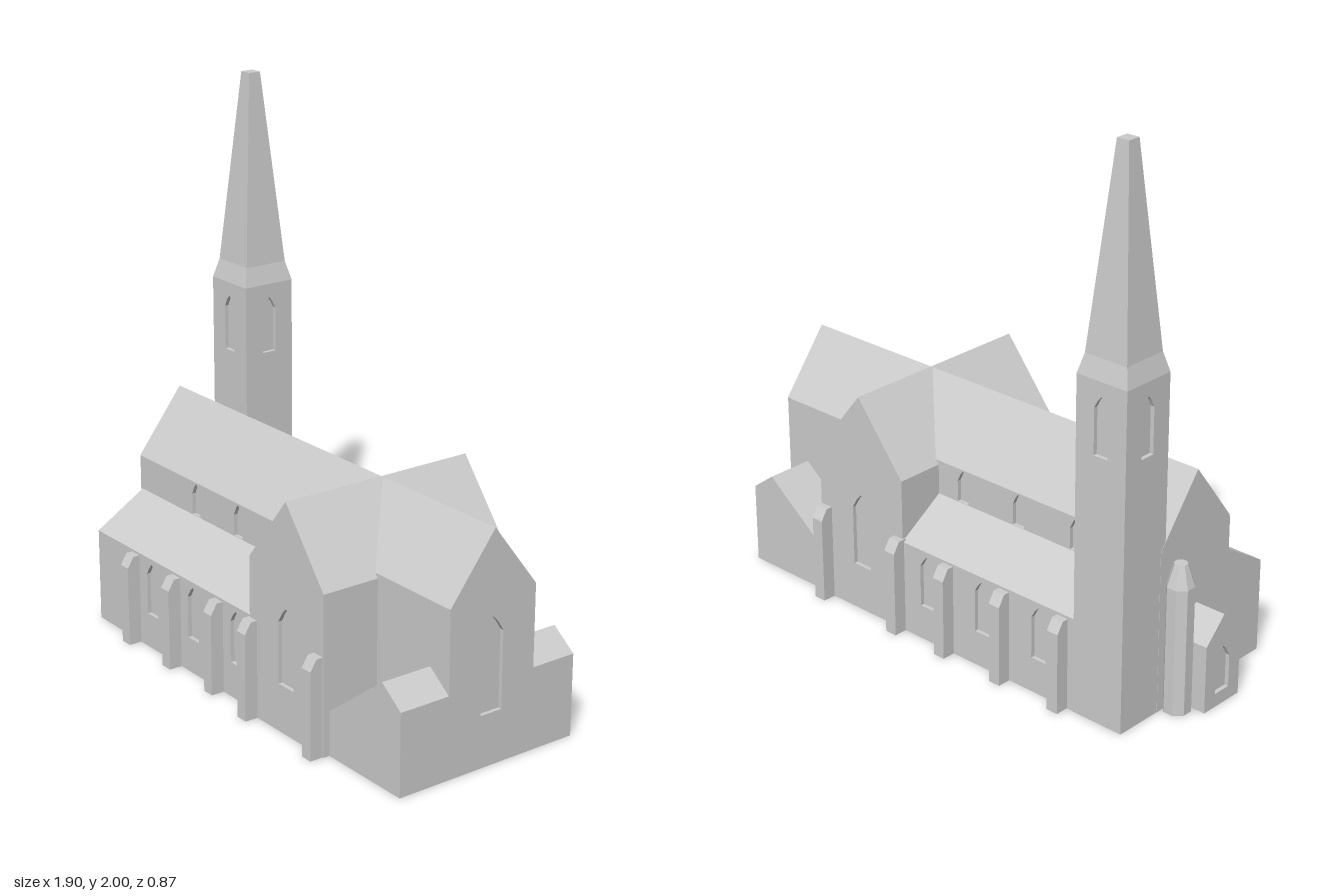
import * as THREE from 'three';

const D = 0.015; // depth of the window recesses

export function createModel() {
  const church = new THREE.Group();
  church.name = 'church';
  const stone = new THREE.MeshStandardMaterial({ color: 0xcccccc });
  stone.name = 'stone';

  const add = (name, geometry) => {
    const mesh = new THREE.Mesh(geometry, stone);
    mesh.name = name;
    church.add(mesh);
    return mesh;
  };
  const polygon = (pts) => new THREE.Shape(pts.map(([x, y]) => new THREE.Vector2(x, y)));
  const extrude = (shape, depth) =>
    new THREE.ExtrudeGeometry(shape, { depth, bevelEnabled: false });

  // Solid with a (z, y) profile running along x
  const prismX = (name, profile, x0, x1) =>
    add(name, extrude(polygon(profile), x1 - x0).rotateY(-Math.PI / 2).translate(x1, 0, 0));
  // Solid with an (x, y) profile running along z
  const prismZ = (name, profile, z0, z1) =>
    add(name, extrude(polygon(profile), z1 - z0).translate(0, 0, z0));

  // Pointed window opening: centre, width, sill, spring and tip heights
  const lancet = ([c, w, sill, spring, tip]) => polygon([
    [c - w / 2, sill], [c + w / 2, sill], [c + w / 2, spring],
    [c + w * 0.25, (spring + tip) / 2 + 0.006], [c, tip],
    [c - w * 0.25, (spring + tip) / 2 + 0.006], [c - w / 2, spring],
  ]);
  // Thin outer wall with window openings; its face looks along +z before turning
  const wall = (name, outline, windows, x, z, angle) => {
    const shape = polygon(outline);
    shape.holes = windows.map(lancet);
    add(name, extrude(shape, D).translate(0, 0, -D).rotateY(angle).translate(x, 0, z));
  };
  const rect = (x0, x1, y0, y1) => [[x0, y0], [x1, y0], [x1, y1], [x0, y1]];
  const gable = (c, h, eave, ridge) =>
    [[c - h, 0], [c + h, 0], [c + h, eave], [c, ridge], [c - h, eave]];

  const ZC = -0.022, HW = 0.18, EAVE = 0.6, RIDGE = 0.835;
  const bays = [-0.465, -0.205, 0.055];

  // Nave and chancel under one long roof
  const i = HW - D;
  prismX('nave', [
    [ZC - i, 0], [ZC + i, 0], [ZC + i, EAVE - 0.002], [ZC + HW, EAVE],
    [ZC, RIDGE], [ZC - HW, EAVE], [ZC - i, EAVE - 0.002],
  ], -0.83, 0.95 - D);
  wall('eastGable', gable(0, HW, EAVE, RIDGE), [[0, 0.09, 0.19, 0.47, 0.53]], 0.95, ZC, Math.PI / 2);

  for (const s of [1, -1]) {
    const side = s > 0 ? 'front' : 'back';
    const turn = s > 0 ? 0 : Math.PI;
    const inner = ZC + s * HW;
    const outer = s > 0 ? 0.355 : -0.385;

    // Clerestory wall
    const ends = [-0.83 * s, (0.95 - D) * s].sort((a, b) => a - b);
    wall(side + 'Clerestory', rect(ends[0], ends[1], 0, EAVE - 0.002),
      bays.map((x) => [x * s, 0.052, 0.472, 0.55, 0.594]), 0, inner, turn);

    // Side aisle with a lean-to roof
    prismX(side + 'Aisle', [
      [ZC, 0], [outer - s * D, 0], [outer - s * D, 0.348], [outer, 0.35],
      [inner, 0.47], [ZC, 0.47],
    ], -0.82, 0.18);
    const span = [-0.82 * s, 0.18 * s].sort((a, b) => a - b);
    wall(side + 'AisleWall', rect(span[0], span[1], 0, 0.349),
      bays.map((x) => [x * s, 0.065, 0.13, 0.285, 0.33]), 0, outer, turn);

    // Transept end wall
    wall(side + 'TranseptGable', gable(0, 0.205, 0.582, 0.838),
      [[0, 0.085, 0.175, 0.4, 0.46]], 0.378, s > 0 ? 0.38 : -0.385, turn);

    // Low vestry beside the chancel
    const za = s > 0 ? 0.1 : -0.38, zb = s > 0 ? 0.355 : -0.14;
    prismZ(side + 'Vestry', [[0.56, 0], [0.95, 0], [0.95, 0.3], [0.855, 0.37], [0.56, 0.145]], za, zb);

    // Buttresses with sloping caps
    for (const x of [-0.57, -0.308, -0.046, 0.19, 0.555]) {
      const big = x > 0.1;
      const base = big ? (s > 0 ? 0.38 : -0.385) : outer;
      const top = big ? 0.36 : 0.34;
      const p = (out, y) => [base + s * out, y];
      prismX(side + 'Buttress', [
        p(-0.01, 0), p(0.05, 0), p(0.05, top - 0.04), p(0.025, top), p(-0.01, top),
      ], x - 0.0235, x + 0.0235);
    }
  }

  // Transept crossing the nave
  prismZ('transept', gable(0.378, 0.205, 0.582, 0.838), -0.385 + D, 0.38 - D);

  // Tower: core with four windowed walls
  const tx = -0.725, tz = -0.283, th = 0.104, TOP = 1.23;
  add('towerCore', new THREE.BoxGeometry(2 * (th - D), TOP, 2 * (th - D)).translate(tx, TOP / 2, tz));
  for (let k = 0; k < 4; k++) {
    const a = k * Math.PI / 2;
    const w = k % 2 ? th - D : th;
    wall('towerWall', rect(-w, w, 0, TOP), [[0, 0.058, 0.97, 1.135, 1.18]],
      tx + Math.sin(a) * th, tz + Math.cos(a) * th, a);
  }

  // Spire: flared skirt, then a long taper with a blunt tip
  const frustum = (name, r0, r1, y0, y1) => add(name,
    new THREE.CylinderGeometry(r1 * Math.SQRT2, r0 * Math.SQRT2, y1 - y0, 4).toNonIndexed()
      .rotateY(Math.PI / 4).translate(tx, (y0 + y1) / 2, tz)).geometry.computeVertexNormals();
  frustum('spireSkirt', th, 0.086, TOP, 1.3);
  frustum('spire', 0.086, 0.024, 1.3, 2);

  // Eight-sided stair turret
  const turret = (name, r0, r1, y0, y1) => add(name,
    new THREE.CylinderGeometry(r1, r0, y1 - y0, 8).toNonIndexed()
      .rotateY(Math.PI / 8).translate(-0.863, (y0 + y1) / 2, -0.138)).geometry.computeVertexNormals();
  turret('stairTurret', 0.05, 0.05, 0, 0.47);
  turret('stairTurretCap', 0.05, 0.024, 0.47, 0.55);

  // West porch with a pointed doorway
  prismX('porch', gable(-0.01, 0.09, 0.25, 0.34), -0.95 + D, -0.82);
  wall('porchGable', gable(0, 0.09, 0.25, 0.34), [[0, 0.07, 0.05, 0.17, 0.22]], -0.95, -0.01, -Math.PI / 2);

  return church;
}
